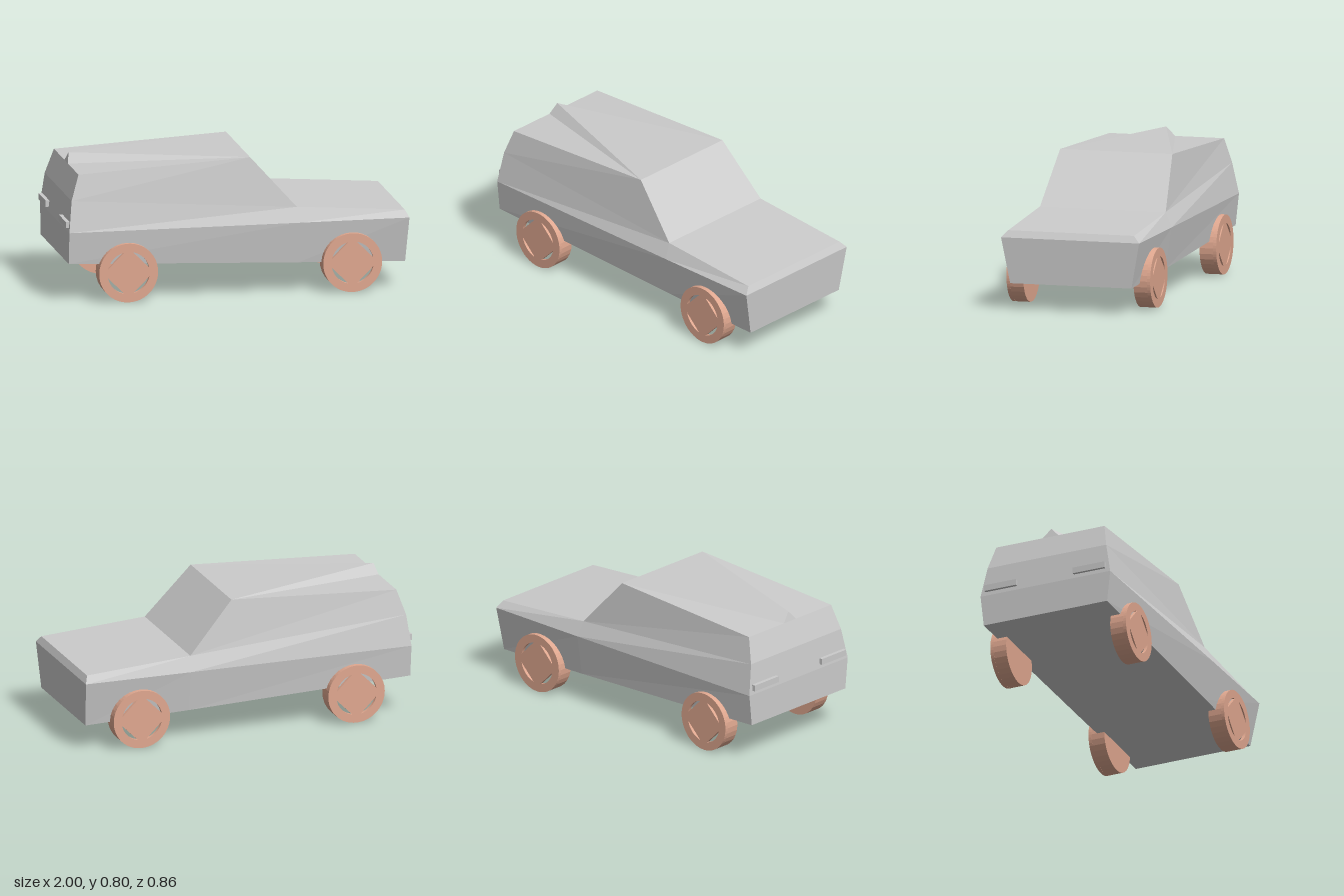
import * as THREE from 'three';

const grey = new THREE.MeshStandardMaterial({ color: 0xcccccc, flatShading: true });
const wheelPaint = new THREE.MeshStandardMaterial({ color: 0xe0a890, flatShading: true });

function named(name, geometry, material) {
  const mesh = new THREE.Mesh(geometry, material);
  mesh.name = name;
  return mesh;
}

// Faceted shell from three lengthwise rails plus the roof, mirrored across z
function bodyGeometry() {
  const bottom = [[-0.985, 0.235, 0.39], [0.36, 0.18, 0.378], [0.985, 0.155, 0.362]];
  const belt = [[-0.985, 0.42, 0.41], [0.36, 0.42, 0.415], [1, 0.42, 0.412]];
  const shoulder = [[-0.965, 0.6, 0.375], [0.35, 0.505, 0.375], [0.98, 0.46, 0.375]];
  const roofRear = [-0.918, 0.745, 0.342];
  const roofFront = [0.085, 0.8, 0.335];
  const notch = [-0.918, 0.745, 0.05];
  const peak = [-0.905, 0.8, 0];

  const positions = [];
  const flip = ([x, y, z]) => [x, y, -z];
  const face = (...p) => {
    for (let i = 1; i < p.length - 1; i++) positions.push(...p[0], ...p[i], ...p[i + 1]);
  };
  const bothSides = (...p) => {
    face(...p);
    face(...p.map(flip).reverse());
  };
  const across = (...row) => {
    for (let i = 0; i < row.length - 1; i++) {
      const [a, b] = [row[i], row[i + 1]];
      face(a, flip(a), flip(b), b);
    }
  };

  // Sides
  for (let i = 0; i < 2; i++) {
    bothSides(bottom[i], bottom[i + 1], belt[i + 1], belt[i]);
    bothSides(belt[i], belt[i + 1], shoulder[i + 1], shoulder[i]);
  }
  bothSides(shoulder[0], shoulder[1], roofFront, roofRear);
  // Nose, bonnet and windscreen
  across(bottom[2], belt[2], shoulder[2], shoulder[1], roofFront);
  // Roof with the small peak at its rear edge
  face(roofFront, flip(roofFront), peak);
  bothSides(roofRear, roofFront, notch);
  bothSides(notch, roofFront, peak);
  face(peak, flip(notch), notch);
  // Tailgate and underside
  across(roofRear, shoulder[0], belt[0], bottom[0], bottom[1], bottom[2]);

  const geometry = new THREE.BufferGeometry();
  geometry.setAttribute('position', new THREE.Float32BufferAttribute(positions, 3));
  geometry.computeVertexNormals();
  return geometry;
}

// Wheel with its outer face towards +z, centred on its axle
function makeWheel() {
  const radius = 0.172, width = 0.1, plate = 0.02, opening = 0.123, spoke = 0.026;
  const wheel = new THREE.Group();

  // Outer plate with four quarter openings
  const disc = new THREE.Shape().absarc(0, 0, radius, 0, Math.PI * 2);
  const start = Math.asin(spoke / opening);
  for (let q = 0; q < 4; q++) {
    const turn = q * Math.PI / 2;
    const hole = new THREE.Path();
    const corner = new THREE.Vector2(spoke, spoke).rotateAround(new THREE.Vector2(), turn);
    hole.moveTo(corner.x, corner.y);
    hole.absarc(0, 0, opening, turn + start, turn + Math.PI / 2 - start);
    hole.closePath();
    disc.holes.push(hole);
  }
  const face = new THREE.ExtrudeGeometry(disc, { depth: plate, bevelEnabled: false, curveSegments: 32 });
  face.translate(0, 0, width / 2 - plate);
  wheel.add(named('wheelFace', face, wheelPaint));

  // Tread and inner cap
  const tread = new THREE.CylinderGeometry(radius, radius, width - plate, 32, 1, true);
  tread.rotateX(Math.PI / 2).translate(0, 0, -plate / 2);
  wheel.add(named('wheelTread', tread, wheelPaint));
  const cap = new THREE.CircleGeometry(radius, 32);
  cap.rotateY(Math.PI).translate(0, 0, -width / 2);
  wheel.add(named('wheelInnerCap', cap, wheelPaint));
  return wheel;
}

export function createModel() {
  const car = new THREE.Group();
  car.name = 'car';
  car.add(named('body', bodyGeometry(), grey));

  for (const side of [1, -1]) {
    // Wheels
    for (const [name, x] of [['rearWheel', -0.643], ['frontWheel', 0.665]]) {
      const wheel = makeWheel();
      wheel.name = name;
      wheel.position.set(x, 0.175, side * 0.379);
      if (side < 0) wheel.rotation.y = Math.PI;
      car.add(wheel);
    }
    // Bars on the tailgate
    const bar = named('tailBar', new THREE.BoxGeometry(0.03, 0.036, 0.2), grey);
    bar.position.set(-0.985, 0.462, side * 0.28);
    car.add(bar);
  }
  return car;
}
